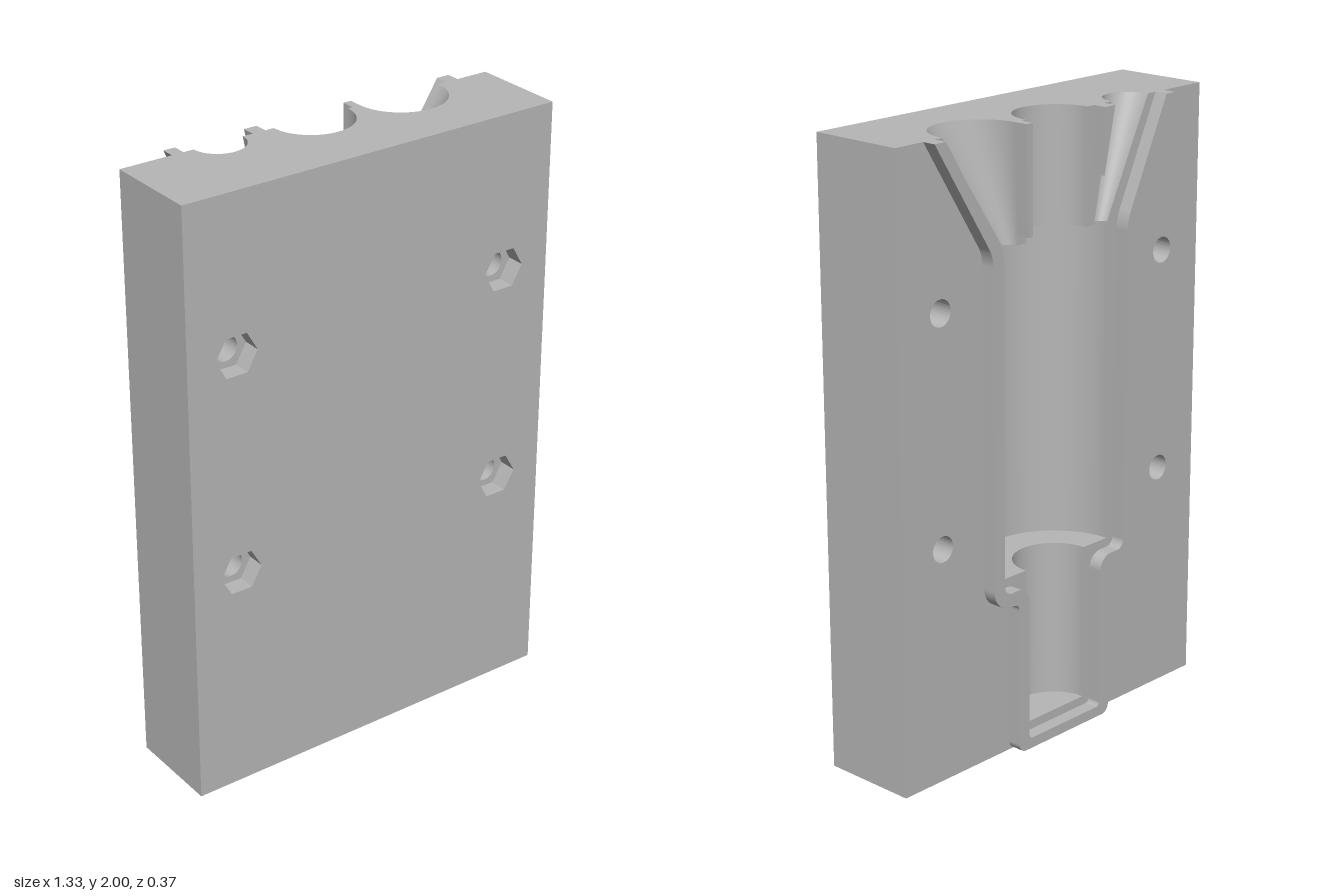
import * as THREE from 'three';

const W = 0.665, FRONT = 0.18, HEX_FLOOR = 0.12, CORE = 0.11, BACK = -0.14, RIM = -0.185;
const Y_CEIL = 1.63, Y_STEP = 0.585, Y_FLOOR = 0.065, R_MAIN = 0.245, R_NECK = 0.135;

const grey = new THREE.MeshStandardMaterial({ color: 0xb6b6b6, side: THREE.DoubleSide });
grey.name = 'grey plastic';

const poly = (pts) => new THREE.Shape(pts.map(([x, y]) => new THREE.Vector2(x, y)));

// Polygon whose corners are rounded by an optional third value
function roundedPoly(pts) {
  const s = new THREE.Shape();
  pts.forEach(([x, y, r = 0], i) => {
    const p = new THREE.Vector2(x, y);
    const toward = (q) => p.clone().add(new THREE.Vector2(q[0] - x, q[1] - y).setLength(r));
    const a = r ? toward(pts[(i + pts.length - 1) % pts.length]) : p;
    if (i === 0) s.moveTo(a.x, a.y);
    else s.lineTo(a.x, a.y);
    if (r) {
      const b = toward(pts[(i + 1) % pts.length]);
      // control points that approximate a circular quarter turn
      const c1 = a.clone().lerp(p, 0.55), c2 = b.clone().lerp(p, 0.55);
      s.bezierCurveTo(c1.x, c1.y, c2.x, c2.y, b.x, b.y);
    }
  });
  return s;
}

export function createModel() {
  const model = new THREE.Group();
  model.name = 'mouldHalf';
  const add = (name, geo, parent = model) => {
    const m = new THREE.Mesh(geo, grey);
    m.name = name;
    parent.add(m);
    return m;
  };
  const slab = (name, shapes, z0, z1) => add(name, new THREE.ExtrudeGeometry(shapes,
    { depth: z1 - z0, bevelEnabled: false, curveSegments: 16 }).translate(0, 0, z0));

  // Bolt positions, with round bores and hexagonal nut pockets
  const bolts = [];
  for (const x of [-0.495, 0.495]) for (const y of [0.76, 1.49]) bolts.push([x, y]);
  const drill = (shape, hex) => {
    for (const [x, y] of bolts) {
      const hole = new THREE.Path();
      if (hex) {
        hole.setFromPoints(Array.from({ length: 7 }, (_, i) => new THREE.Vector2(
          x + 0.073 * Math.cos(i * Math.PI / 3), y + 0.073 * Math.sin(i * Math.PI / 3))));
      } else hole.absarc(x, y, 0.042, 0, Math.PI * 2, true);
      shape.holes.push(hole);
    }
    return shape;
  };
  const rect = () => poly([[-W, 0], [W, 0], [W, 2], [-W, 2]]);
  slab('frontPlateWithNutPockets', drill(rect(), true), HEX_FLOOR, FRONT);
  slab('middlePlate', drill(rect(), false), CORE, HEX_FLOOR);

  // Back plate, cut along the cavity outline, and the two lands beside the neck
  const backPlate = poly([
    [-W, 0], [W, 0], [W, 2], [0.48, 2], [0.23, Y_CEIL], [R_MAIN, Y_CEIL], [R_MAIN, Y_STEP],
    [R_NECK, Y_STEP], [R_NECK, Y_FLOOR], [-R_NECK, Y_FLOOR], [-R_NECK, Y_STEP],
    [-R_MAIN, Y_STEP], [-R_MAIN, Y_CEIL], [-0.23, Y_CEIL], [-0.415, 2], [-W, 2]]);
  slab('backPlate', [
    drill(backPlate, false),
    poly([[-0.245, 2], [-0.17, Y_CEIL], [-R_NECK, Y_CEIL], [-R_NECK, 2]]),
    poly([[R_NECK, 2], [R_NECK, Y_CEIL], [0.17, Y_CEIL], [0.18, 2]]),
  ], BACK, CORE);

  // Half-round channels, leaning from the lower centre to the upper centre
  const channel = (name, y0, y1, r0, r1, x0 = 0, x1 = 0) => {
    const g = new THREE.CylinderGeometry(r1, r0, y1 - y0, 48, 1, true, -Math.PI / 2, Math.PI);
    const p = g.attributes.position;
    for (let i = 0; i < p.count; i++) {
      const t = p.getY(i) / (y1 - y0) + 0.5;
      p.setX(i, p.getX(i) + x0 + (x1 - x0) * t);
    }
    g.computeVertexNormals();
    add(name, g.translate(0, (y0 + y1) / 2, BACK));
  };
  channel('mainCavity', Y_STEP, Y_CEIL, R_MAIN, R_MAIN);
  channel('lowerCavity', Y_FLOOR, Y_STEP, R_NECK, R_NECK);
  channel('neckCavity', Y_CEIL, 2, R_NECK, R_NECK);
  channel('pouringFunnel', Y_CEIL, 2, 0.03, 0.15, 0.2, 0.33);
  channel('ventFunnel', Y_CEIL, 2, 0.03, 0.085, -0.2, -0.33);

  // Level faces: half discs with smaller half discs left open, listed from +x to -x
  const level = (name, shape, y) => add(name,
    new THREE.ShapeGeometry(shape, 24).rotateX(Math.PI / 2).translate(0, y, BACK));
  const halfDisc = (r, openings) => {
    const s = new THREE.Shape();
    s.moveTo(-r, 0);
    for (const [x, q] of [...openings].reverse()) {
      s.lineTo(x - q, 0);
      s.absarc(x, 0, q, Math.PI, 0, true);
    }
    s.lineTo(r, 0);
    s.absarc(0, 0, r, 0, Math.PI, false);
    return s;
  };
  level('mainCavityCeiling', halfDisc(R_MAIN, [[0.2, 0.03], [0, R_NECK], [-0.2, 0.03]]), Y_CEIL);
  level('mainCavityStep', halfDisc(R_MAIN, [[0, R_NECK]]), Y_STEP);
  level('lowerCavityFloor', halfDisc(R_NECK, []), Y_FLOOR);

  // Top face around each half-round mouth
  for (const [x, r] of [[0.33, 0.15], [0, R_NECK], [-0.33, 0.085]]) {
    const s = new THREE.Shape();
    s.moveTo(x - r, 0);
    s.absarc(x, 0, r, Math.PI, 0, true);
    s.lineTo(x + r, CORE - BACK);
    s.lineTo(x - r, CORE - BACK);
    level('topFaceAroundMouth', s, 2);
  }

  // Raised sealing rim that follows the cavity
  slab('sealingRim', roundedPoly([
    [0.555, 2], [0.32, 1.63, 0.03], [0.32, 0.51, 0.07], [0.21, 0.51, 0.025], [0.21, 0, 0.03],
    [-0.21, 0, 0.03], [-0.21, 0.51, 0.025], [-0.32, 0.51, 0.07], [-0.32, 1.64, 0.03], [-0.49, 2],
    [-0.45, 2], [-0.275, 1.63, 0.03], [-0.275, 0.555, 0.03], [-0.165, 0.555, 0.05],
    [-0.165, 0.035, 0.015], [0.165, 0.035, 0.015], [0.165, 0.555, 0.05], [0.275, 0.555, 0.03],
    [0.275, 1.63, 0.03], [0.51, 2]]), RIM, BACK);
  slab('rimBetweenNeckAndVent', poly([[-0.21, 2], [-0.165, 1.79], [-0.165, 2]]), RIM, BACK);
  slab('rimBetweenNeckAndFunnel', poly([[0.152, 1.66], [0.172, 1.66], [0.18, 2], [0.152, 2]]), RIM, BACK);

  return model;
}
